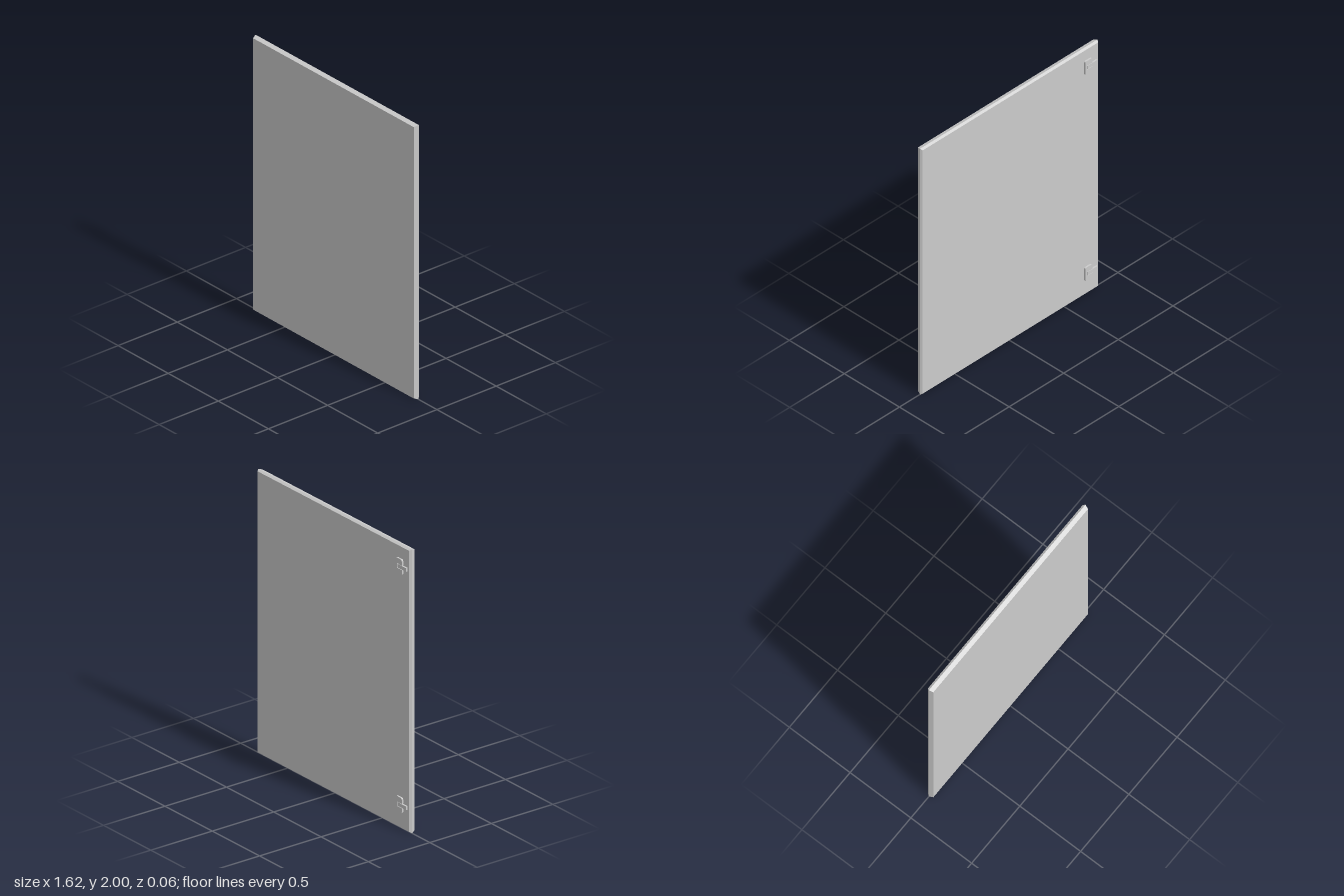
import * as THREE from 'three';

const material = new THREE.MeshStandardMaterial({ color: 0xcccccc, flatShading: true });

const FRONT = 0.028, BACK = -0.016, HINGE_BACK = -0.028;

// Door slab whose four edges come to a shallow ridge
function doorPanel() {
  const w = 1.605, h = 1.98, bevel = 0.01, ridgeZ = -0.001;
  const box = new THREE.BoxGeometry(w, h, 2, 1, 1, 2);
  const p = box.attributes.position;
  for (let i = 0; i < p.count; i++) {
    const z = p.getZ(i);
    if (Math.abs(z) < 0.5) {
      p.setXYZ(i, p.getX(i) + Math.sign(p.getX(i)) * bevel, p.getY(i) + Math.sign(p.getY(i)) * bevel, ridgeZ);
    } else {
      p.setZ(i, z > 0 ? FRONT : BACK);
    }
  }
  const geometry = box.toNonIndexed();
  geometry.computeVertexNormals();
  const mesh = new THREE.Mesh(geometry, material);
  mesh.name = 'doorPanel';
  mesh.position.y = 1;
  return mesh;
}

// Rounded mounting plate, slotted on its outer side for the arm
function hingePlate() {
  const l = -0.74, r = -0.675, h = 0.055, c = 0.012, slot = 0.016, slotEnd = -0.69;
  const s = new THREE.Shape();
  s.moveTo(l + c, -h);
  s.lineTo(r - c, -h);
  s.quadraticCurveTo(r, -h, r, -h + c);
  s.lineTo(r, h - c);
  s.quadraticCurveTo(r, h, r - c, h);
  s.lineTo(l + c, h);
  s.quadraticCurveTo(l, h, l, h - c);
  s.lineTo(l, slot);
  s.lineTo(slotEnd, slot);
  s.lineTo(slotEnd, -slot);
  s.lineTo(l, -slot);
  s.lineTo(l, -h + c);
  s.quadraticCurveTo(l, -h, l + c, -h);
  const geometry = new THREE.ExtrudeGeometry(s, { depth: BACK - HINGE_BACK, bevelEnabled: false, curveSegments: 4 });
  geometry.translate(0, 0, HINGE_BACK);
  const mesh = new THREE.Mesh(geometry, material);
  mesh.name = 'hingePlate';
  return mesh;
}

// Narrow arm reaching from the slot towards the door edge
function hingeArm() {
  const x0 = -0.785, x1 = -0.693;
  const geometry = new THREE.BoxGeometry(x1 - x0, 0.026, BACK - HINGE_BACK);
  const mesh = new THREE.Mesh(geometry, material);
  mesh.name = 'hingeArm';
  mesh.position.set((x0 + x1) / 2, 0, (BACK + HINGE_BACK) / 2);
  return mesh;
}

export function createModel() {
  const model = new THREE.Group();
  model.name = 'cabinetDoor';
  model.add(doorPanel());

  // Lower and upper hinges
  for (const [name, y] of [['lowerHinge', 0.173], ['upperHinge', 1.852]]) {
    const hinge = new THREE.Group();
    hinge.name = name;
    hinge.position.y = y;
    hinge.add(hingePlate(), hingeArm());
    model.add(hinge);
  }
  return model;
}
